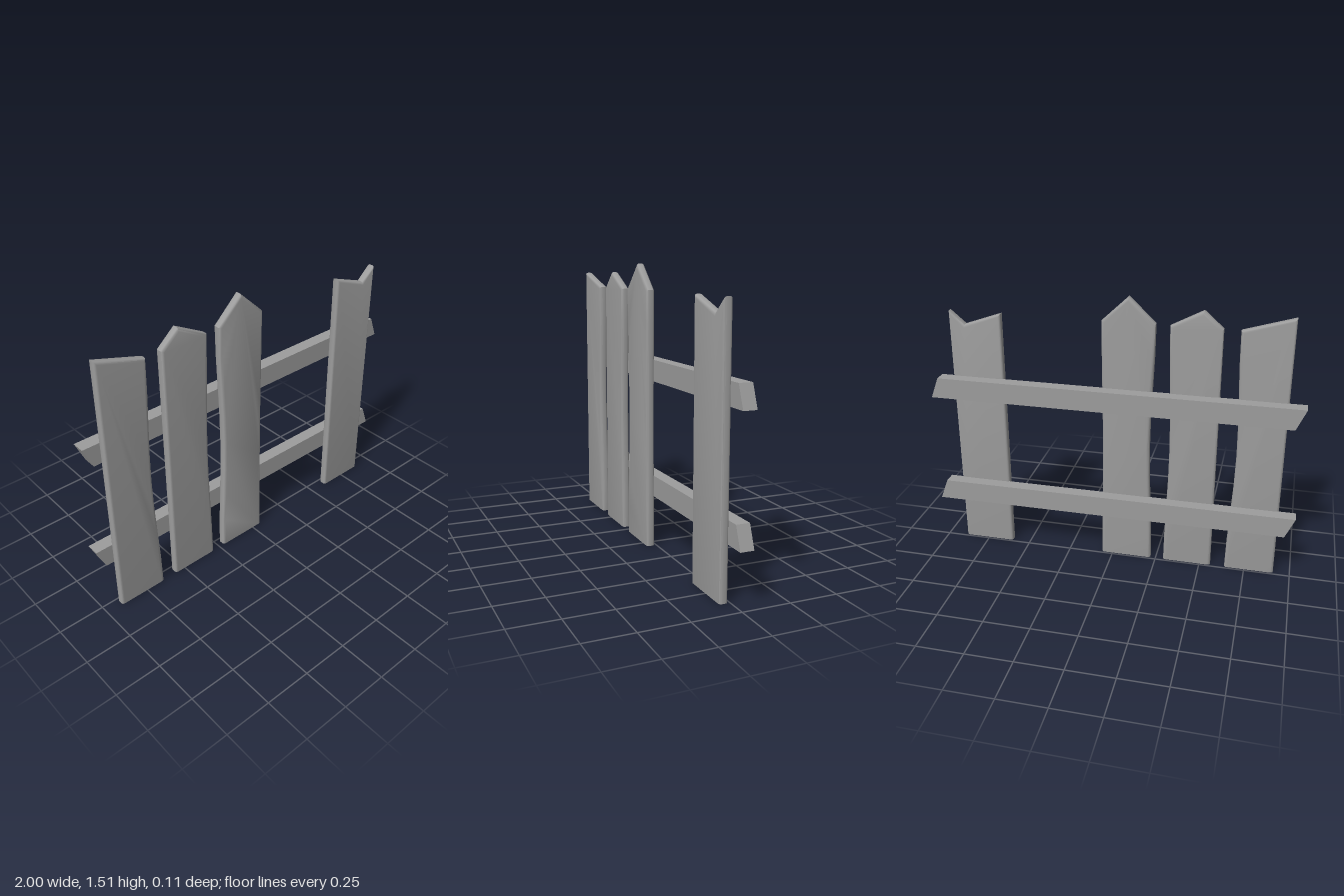
import * as THREE from 'three';
import { toCreasedNormals } from 'three/addons/utils/BufferGeometryUtils.js';

const material = new THREE.MeshStandardMaterial({ color: 0x9c9c9c });

// Upright board: bottom edge x0..x1, top outline from right to left,
// and how far each side is pinched in at mid-height.
function makePlank(name, x0, x1, top, pinchLeft, pinchRight) {
  const bevel = 0.016, back = 0.01, front = 0.055, t = 0.012;
  const steps = 8;
  const points = [];
  const side = (xa, ya, xb, yb, pinch) => {
    const n = pinch ? steps : 1;
    for (let i = 0; i <= n; i++) {
      const f = i / n;
      const wave = Math.sin(Math.PI * f) ** 2;
      points.push(new THREE.Vector2(xa + (xb - xa) * f + pinch * wave, ya + (yb - ya) * f));
    }
  };
  const first = top[0], last = top[top.length - 1];
  side(x1, 0, first[0], first[1], -pinchRight);
  for (const p of top.slice(1, -1)) points.push(new THREE.Vector2(...p));
  side(last[0], last[1], x0, 0, pinchLeft);

  const extruded = new THREE.ExtrudeGeometry(new THREE.Shape(points), {
    depth: front - back - 2 * t, bevelEnabled: true, bevelThickness: t,
    bevelSize: bevel, bevelOffset: -bevel, bevelSegments: 3,
  });
  extruded.translate(0, 0, back + t);
  const geometry = toCreasedNormals(extruded, 0.65);
  // Saw the foot off flat, keeping its softly rounded shading
  const pos = geometry.attributes.position;
  for (let i = 0; i < pos.count; i++) if (pos.getY(i) < 0.03) pos.setY(i, 0);
  const mesh = new THREE.Mesh(geometry, material);
  mesh.name = name;
  return mesh;
}

// Horizontal rail with both ends cut on a slant
function makeRail(name, y) {
  const h = 0.114;
  const shape = new THREE.Shape([
    new THREE.Vector2(-0.95, 0), new THREE.Vector2(1, 0),
    new THREE.Vector2(0.957, h), new THREE.Vector2(-1, h),
  ]);
  const geometry = new THREE.ExtrudeGeometry(shape, { depth: 0.07, bevelEnabled: false });
  const mesh = new THREE.Mesh(geometry, material);
  mesh.name = name;
  mesh.position.set(0, y, -0.055);
  return mesh;
}

export function createModel() {
  const fence = new THREE.Group();
  fence.name = 'fence';
  fence.add(
    makeRail('lowerRail', 0.277),
    makeRail('upperRail', 0.902),
    makePlank('slantedPlank', -0.91, -0.64, [[-0.645, 1.375], [-0.91, 1.455]], 0, 0.022),
    makePlank('shortPointedPlank', -0.56, -0.293, [[-0.293, 1.375], [-0.46, 1.463], [-0.56, 1.375]], 0, 0.016),
    makePlank('tallPointedPlank', -0.22, 0.061, [[0.061, 1.378], [-0.08, 1.512], [-0.22, 1.378]], 0.02, 0.005),
    makePlank('notchedPlank', 0.603, 0.89, [[0.89, 1.378], [0.805, 1.307], [0.603, 1.378]], 0, 0),
  );
  return fence;
}
